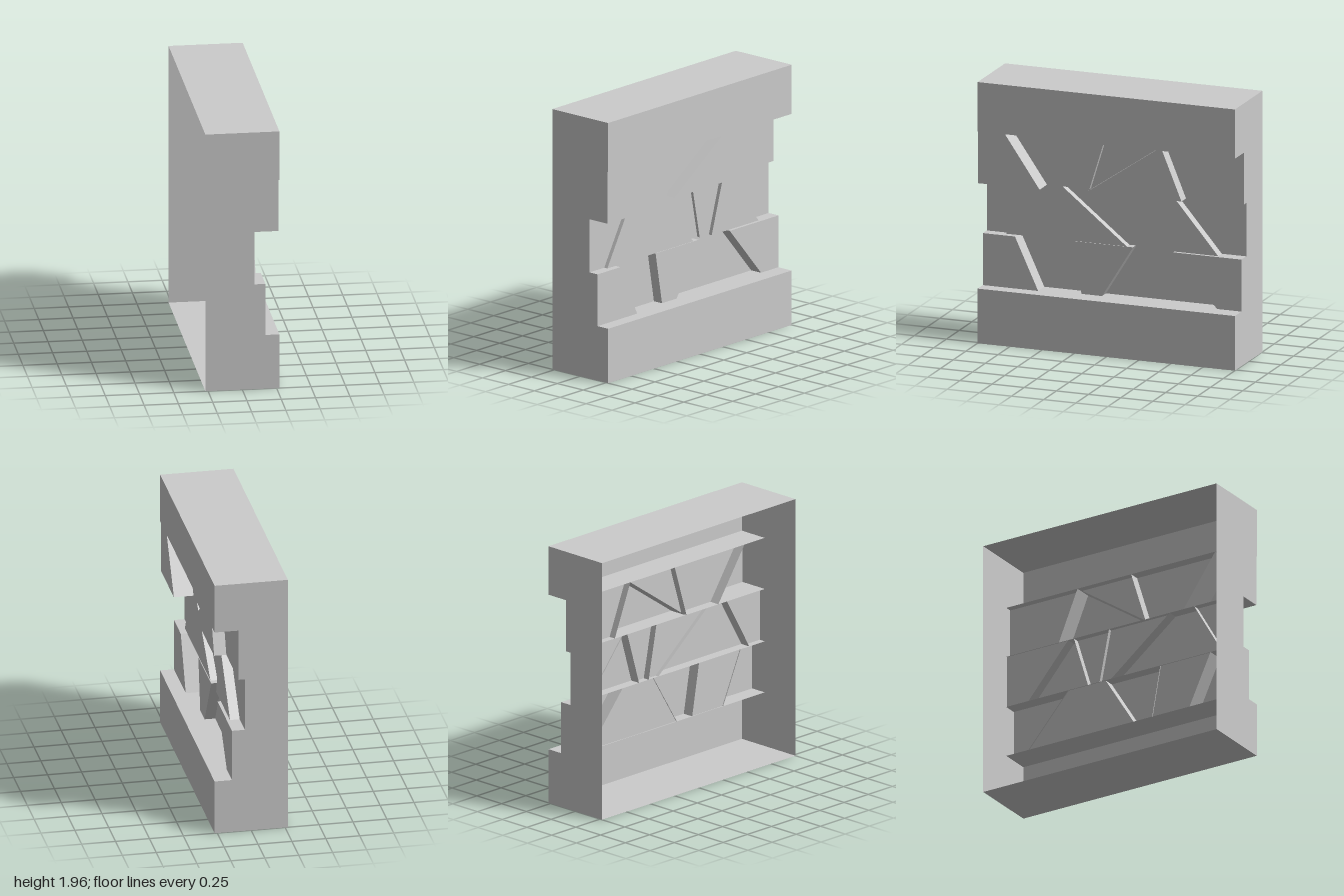
import * as THREE from 'three';

const W = 0.27, H = 1.96, BACK = 0.04; // half width, height, inner edge of ledges

// Each row: bottom, top, slanted cuts as [z at top, z at bottom], panel depths from +z to -z
const ROWS = [
  { name: 'lowerRow', y0: 0.41, y1: 0.8,
    cuts: [[0.75, 0.57], [0.32, 0.25], [-0.15, 0.09], [-0.47, -0.81]],
    depths: [0.168, 0.047, 0.125, 0.047, 0.142] },
  { name: 'middleRow', y0: 0.8, y1: 1.2,
    cuts: [[0.61, 0.84], [0.40, -0.10], [-0.12, -0.20], [-0.42, -0.30], [-0.47, -0.81]],
    depths: [0.09, 0.12, 0.068, 0.09, 0.118, 0.047] },
  { name: 'upperRow', y0: 1.2, y1: 1.59,
    cuts: [[0.79, 0.52], [0.07, 0.19], [-0.39, 0.18], [-0.39, -0.55]],
    depths: [0.265, 0.12, 0.09, 0.183, 0.093] },
];

const material = new THREE.MeshStandardMaterial({
  color: 0xcccccc, flatShading: true, side: THREE.DoubleSide,
});

// Mesh made of flat four-cornered faces
function quads(name, faces) {
  const pos = [];
  for (const [a, b, c, d] of faces) pos.push(...a, ...b, ...c, ...a, ...c, ...d);
  const geo = new THREE.BufferGeometry();
  geo.setAttribute('position', new THREE.Float32BufferAttribute(pos, 3));
  geo.computeVertexNormals();
  const mesh = new THREE.Mesh(geo, material);
  mesh.name = name;
  return mesh;
}

// Face at constant x between two heights, and face at constant y between two depths
const upright = (x, y0, y1) => [[x, y0, 1], [x, y0, -1], [x, y1, -1], [x, y1, 1]];
const level = (y, x0, x1, z0 = 1, z1 = -1) => [[x0, y, z0], [x1, y, z0], [x1, y, z1], [x0, y, z1]];

// Stepped end wall following the depth of the outermost panels
function endWall(z) {
  const pts = [[-W, 0], [W, 0], [W, ROWS[0].y0]];
  for (const r of ROWS) {
    const x = z > 0 ? r.depths[0] : r.depths.at(-1);
    pts.push([x, r.y0], [x, r.y1]);
  }
  pts.push([W, ROWS[2].y1], [W, H], [-W, H]);
  const geo = new THREE.ShapeGeometry(new THREE.Shape(pts.map((p) => new THREE.Vector2(...p))));
  if (z < 0) geo.scale(-1, 1, 1).rotateY(Math.PI);
  geo.translate(0, 0, z);
  const mesh = new THREE.Mesh(geo, material);
  mesh.name = z > 0 ? 'frontEnd' : 'backEnd';
  return mesh;
}

// Row of slanted panels with their ledges and the step walls between them
function panelRow({ name, y0, y1, cuts, depths }) {
  const group = new THREE.Group();
  group.name = name;
  const edges = [[1, 1], ...cuts, [-1, -1]];
  depths.forEach((x, i) => {
    const [ta, ba] = edges[i], [tb, bb] = edges[i + 1];
    const faces = [[[x, y0, ba], [x, y0, bb], [x, y1, bb === tb ? bb : tb], [x, y1, ta]]];
    if (name !== 'lowerRow') faces.push(level(y0, BACK, x, ba, bb));
    if (name !== 'upperRow') faces.push(level(y1, BACK, x, ta, tb));
    group.add(quads('panel', faces));
  });
  cuts.forEach(([t, b], i) => {
    const x = Math.max(depths[i], depths[i + 1]);
    group.add(quads('stepWall', [[[BACK, y0, b], [x, y0, b], [x, y1, t], [BACK, y1, t]]]));
  });
  return group;
}

export function createModel() {
  const model = new THREE.Group();
  model.name = 'steppedReliefBlock';
  const low = ROWS[0].y0, high = ROWS[2].y1;

  // Plain bands above and below the relief; the -x side stays open
  model.add(quads('bottomBand', [level(0, W, -W), upright(W, 0, low), level(low, BACK, W)]));
  model.add(quads('topBand', [level(H, -W, W), upright(W, high, H), level(high, W, BACK)]));
  model.add(endWall(1), endWall(-1));
  for (const row of ROWS) model.add(panelRow(row));
  return model;
}
